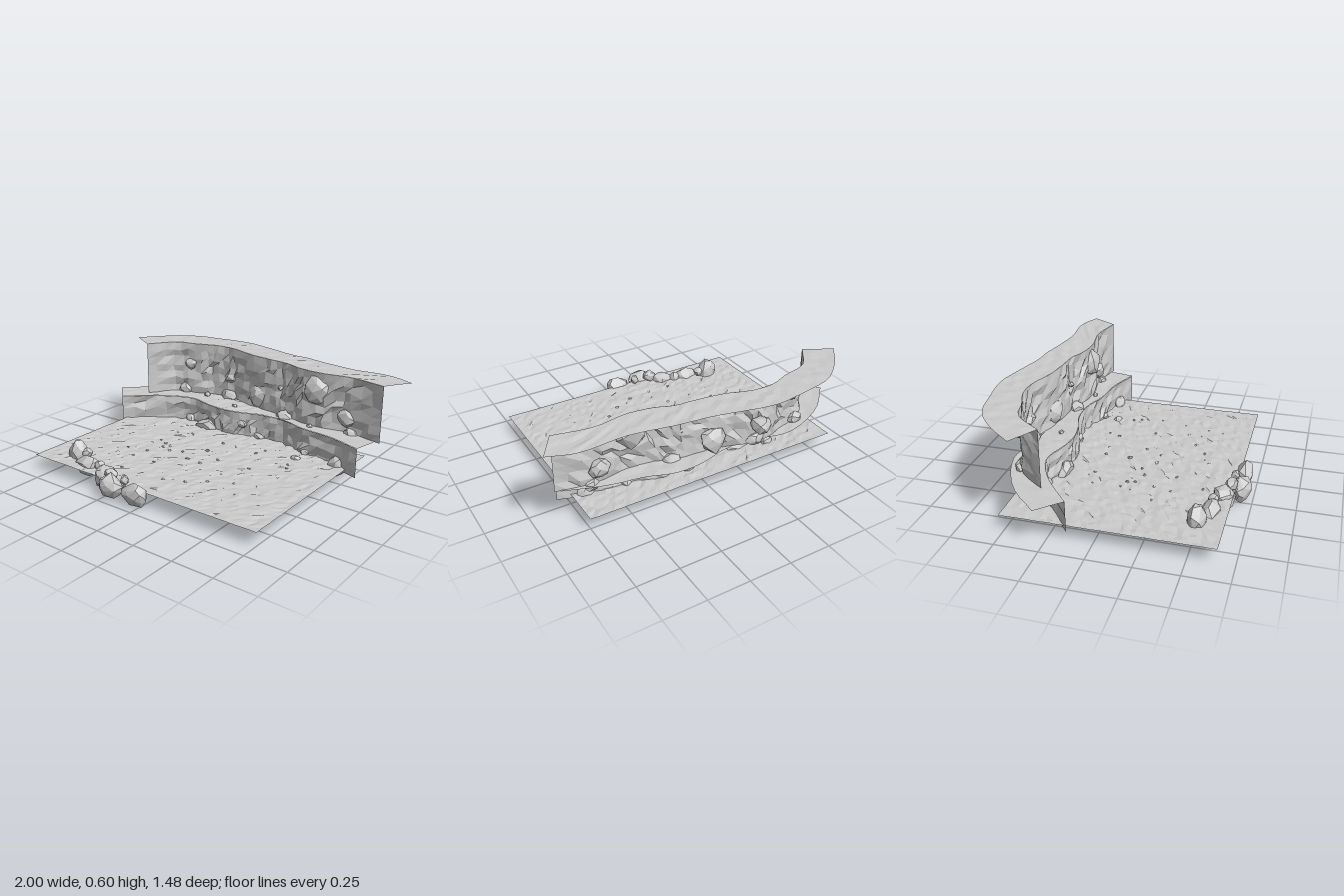
import * as THREE from 'three';
import { ConvexGeometry } from 'three/addons/geometries/ConvexGeometry.js';

const sheetMat = new THREE.MeshStandardMaterial({ color: 0xcccccc, flatShading: true, side: THREE.DoubleSide });
const rockMat = new THREE.MeshStandardMaterial({ color: 0xcccccc, flatShading: true });

// Small seeded generator
let seed = 7;
const rnd = () => {
  seed = (seed * 16807) % 2147483647;
  return seed / 2147483647;
};
const jitter = (a) => (rnd() * 2 - 1) * a;

const curve = (pts) => new THREE.CatmullRomCurve3(pts.map(([x, z]) => new THREE.Vector3(x, 0, z)), false, 'centripetal');

// Grid sheet whose vertices are placed by rule(u, v, isEdge)
function sheet(name, nu, nv, rule) {
  const g = new THREE.PlaneGeometry(1, 1, nu, nv);
  const p = g.attributes.position;
  for (let i = 0; i < p.count; i++) {
    const u = p.getX(i) + 0.5, v = p.getY(i) + 0.5;
    const edge = Math.min(u, v, 1 - u, 1 - v) < 0.001;
    p.setXYZ(i, ...rule(u, v, edge));
  }
  g.computeVertexNormals();
  const m = new THREE.Mesh(g, sheetMat);
  m.name = name;
  return m;
}

// Rough cliff face standing along a path
function cliff(name, path, y0, y1, rows) {
  return sheet(name, 36, rows, (u, v, edge) => {
    const p = path.getPoint(u);
    const k = edge ? 0 : 1;
    return [p.x + jitter(0.012) * k, y0 + (y1 - y0) * v + jitter(0.015) * k, p.z + jitter(0.013) * k];
  });
}

// Nearly flat shelf between a front and a back path
function shelf(name, front, back, y) {
  return sheet(name, 36, 4, (u, v, edge) => {
    const p = front.getPoint(u).lerp(back.getPoint(u), v);
    return [p.x, y + jitter(edge ? 0.001 : 0.004), p.z];
  });
}

// Angular boulder: convex hull of scattered points on an ellipsoid
function rock(name, x, y, z, rx, ry, rz, n = 24) {
  const pts = [];
  const turn = rnd() * 6;
  for (let i = 0; i < n; i++) {
    const h = 1 - (2 * i + 1) / n + jitter(0.05);
    const a = i * 2.39996 + turn + jitter(0.3);
    const r = Math.sqrt(Math.max(0, 1 - h * h)), s = 1 + jitter(0.14);
    pts.push(new THREE.Vector3(r * Math.cos(a) * rx * s, h * ry * s, r * Math.sin(a) * rz * s));
  }
  const m = new THREE.Mesh(new ConvexGeometry(pts), rockMat);
  m.position.set(x, y, z);
  m.name = name;
  return m;
}

export function createModel() {
  seed = 7;
  const model = new THREE.Group();
  model.name = 'rockyTerrace';

  // Ground with fine ripples
  model.add(sheet('ground', 48, 36, (u, v, edge) => [
    -0.86 + 1.62 * u + (edge ? 0 : jitter(0.01)),
    0.095 + jitter(edge ? 0.001 : 0.0045),
    0.655 - 1.185 * v + (edge ? 0 : jitter(0.01)),
  ]));

  // Plan curves of the two terraces
  const lowFront = curve([[-0.875, -0.14], [-0.66, -0.315], [-0.465, -0.395], [-0.315, -0.358], [-0.18, -0.337],
    [-0.05, -0.353], [0.085, -0.396], [0.26, -0.4], [0.406, -0.353], [0.62, -0.326], [0.834, -0.257]]);
  const lowBack = curve([[-1, -0.27], [-0.8, -0.46], [-0.5, -0.58], [-0.315, -0.55], [-0.18, -0.53],
    [-0.04, -0.545], [0.1, -0.585], [0.27, -0.59], [0.43, -0.54], [0.65, -0.5], [0.87, -0.425]]);
  const highFront = curve([[-0.78, -0.305], [-0.65, -0.465], [-0.5, -0.508], [-0.37, -0.556], [-0.235, -0.556],
    [-0.075, -0.508], [0.085, -0.487], [0.22, -0.476], [0.326, -0.438], [0.487, -0.422], [0.674, -0.45], [0.9, -0.41]]);
  const highBack = curve([[-0.945, -0.4], [-0.82, -0.55], [-0.665, -0.67], [-0.45, -0.72], [-0.25, -0.745],
    [-0.08, -0.715], [0.12, -0.67], [0.28, -0.655], [0.42, -0.63], [0.59, -0.607], [0.84, -0.622], [1, -0.567]]);

  model.add(
    cliff('lowerCliff', lowFront, 0.07, 0.25, 4),
    shelf('lowerShelf', lowFront, lowBack, 0.252),
    cliff('upperCliff', highFront, 0.25, 0.598, 7),
    shelf('upperShelf', highFront, highBack, 0.598),
  );

  // Boulders at the front edge: x, y, z, radii
  const boulders = [
    [-0.64, 0.11, 0.505, 0.065, 0.085, 0.055], [-0.51, 0.08, 0.555, 0.085, 0.062, 0.055],
    [-0.33, 0.08, 0.6, 0.075, 0.065, 0.065], [-0.21, 0.08, 0.682, 0.088, 0.072, 0.056],
    [-0.03, 0.075, 0.677, 0.085, 0.068, 0.052], [-0.57, 0.13, 0.5, 0.03, 0.03, 0.03],
    [-0.25, 0.12, 0.63, 0.045, 0.04, 0.035], [-0.41, 0.1, 0.555, 0.035, 0.035, 0.03],
    [-0.14, 0.12, 0.635, 0.025, 0.03, 0.025],
  ];
  // Rocks lodged in the cliffs
  const cliffRocks = [
    [0.68, 0.085, -0.305, 0.055, 0.065, 0.04], [-0.3, 0.09, -0.345, 0.1, 0.06, 0.04],
    [0.08, 0.1, -0.4, 0.045, 0.03, 0.03], [-0.03, 0.175, -0.355, 0.035, 0.028, 0.025],
    [-0.48, 0.1, -0.4, 0.04, 0.04, 0.035], [0.45, 0.1, -0.345, 0.03, 0.025, 0.03],
    [-0.27, 0.385, -0.6, 0.06, 0.05, 0.06], [-0.56, 0.455, -0.5, 0.042, 0.04, 0.03],
    [-0.01, 0.325, -0.515, 0.075, 0.085, 0.05], [0.46, 0.48, -0.43, 0.085, 0.088, 0.055],
    [0.66, 0.345, -0.455, 0.06, 0.06, 0.04], [0.23, 0.245, -0.46, 0.06, 0.05, 0.05],
    [0.7, 0.245, -0.44, 0.045, 0.04, 0.035], [-0.6, 0.27, -0.49, 0.055, 0.04, 0.03],
    [-0.27, 0.265, -0.55, 0.06, 0.045, 0.03], [0.18, 0.43, -0.475, 0.016, 0.016, 0.02],
    [-0.41, 0.265, -0.49, 0.025, 0.018, 0.02], [0.44, 0.255, -0.4, 0.02, 0.015, 0.015],
    [-0.14, 0.255, -0.43, 0.018, 0.014, 0.015], [0.44, 0.09, -0.245, 0.035, 0.025, 0.028],
  ];
  boulders.forEach((b) => model.add(rock('boulder', ...b, 30)));
  cliffRocks.forEach((b) => model.add(rock('cliffRock', ...b)));

  // Pebbles strewn over the ground
  const pebbles = new THREE.Group();
  pebbles.name = 'pebbles';
  for (let i = 0; i < 55; i++) {
    const r = 0.007 + 0.011 * rnd() * rnd();
    pebbles.add(rock('pebble', -0.52 + rnd() * 1.08, 0.092 + jitter(0.005), -0.27 + rnd() * 0.75, r * 1.3, r * 0.8, r, 10));
  }
  model.add(pebbles);
  return model;
}
